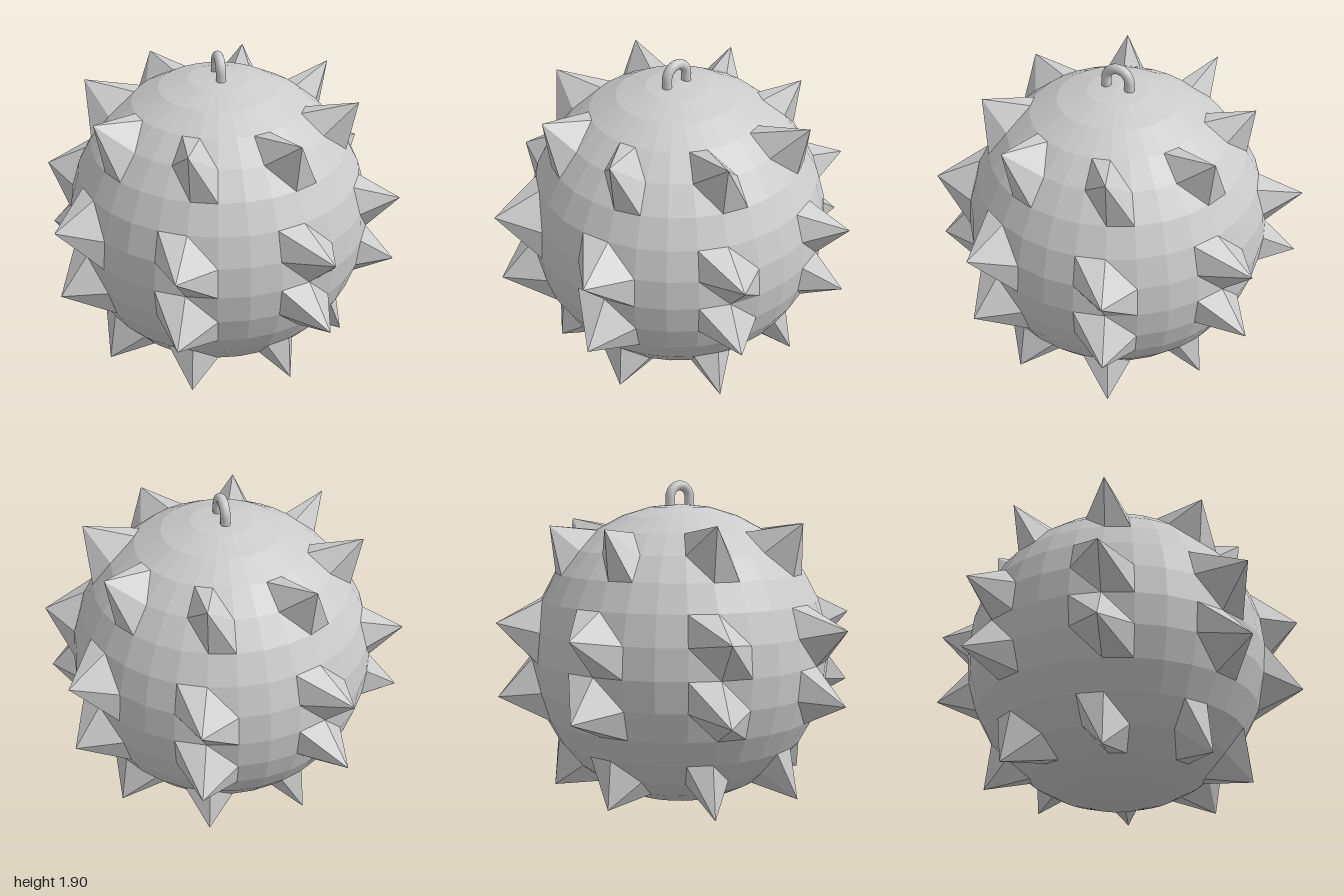
import * as THREE from 'three';

const RADIUS = 0.883;

// Faceted ball whose spikes are single grid points pulled outwards
function spikedBall(material) {
  const columns = 32;
  const rows = 16;
  const geometry = new THREE.SphereGeometry(RADIUS, columns, rows);
  const pos = geometry.attributes.position;
  const point = new THREE.Vector3();
  for (const row of [4, 7, 9, 12]) {
    const nearPole = row === 4 || row === 12;
    for (let column = 2; column < columns; column += 4) {
      const i = row * (columns + 1) + column;
      point.fromBufferAttribute(pos, i);
      const facesSide = Math.abs(point.x) > Math.abs(point.z);
      const reach = nearPole ? (facesSide ? 1.11 : 1.08) : (facesSide ? 1.082 : 1.103);
      point.setLength(reach);
      pos.setXYZ(i, point.x, point.y, point.z);
    }
  }
  geometry.computeVertexNormals();
  const mesh = new THREE.Mesh(geometry, material);
  mesh.name = 'spikedBall';
  mesh.position.y = RADIUS;
  return mesh;
}

// Hanging loop: half ring on two straight legs
function hangingLoop(material) {
  const loop = new THREE.Group();
  loop.name = 'hangingLoop';
  const ring = 0.07;
  const tube = 0.028;
  const top = 1.802;
  const foot = 1.73;

  const arch = new THREE.Mesh(new THREE.TorusGeometry(ring, tube, 16, 24, Math.PI), material);
  arch.name = 'loopArch';
  arch.rotation.y = Math.PI / 2;
  arch.position.y = top;
  loop.add(arch);

  for (const side of [-1, 1]) {
    const leg = new THREE.Mesh(new THREE.CylinderGeometry(tube, tube, top - foot, 16), material);
    leg.name = side > 0 ? 'frontLoopLeg' : 'backLoopLeg';
    leg.position.set(0, (top + foot) / 2, side * ring);
    loop.add(leg);
  }
  return loop;
}

export function createModel() {
  const group = new THREE.Group();
  group.name = 'spikedBallOrnament';
  group.add(spikedBall(new THREE.MeshStandardMaterial({ color: 0xcccccc, flatShading: true })));
  group.add(hangingLoop(new THREE.MeshStandardMaterial({ color: 0xcccccc })));
  return group;
}
